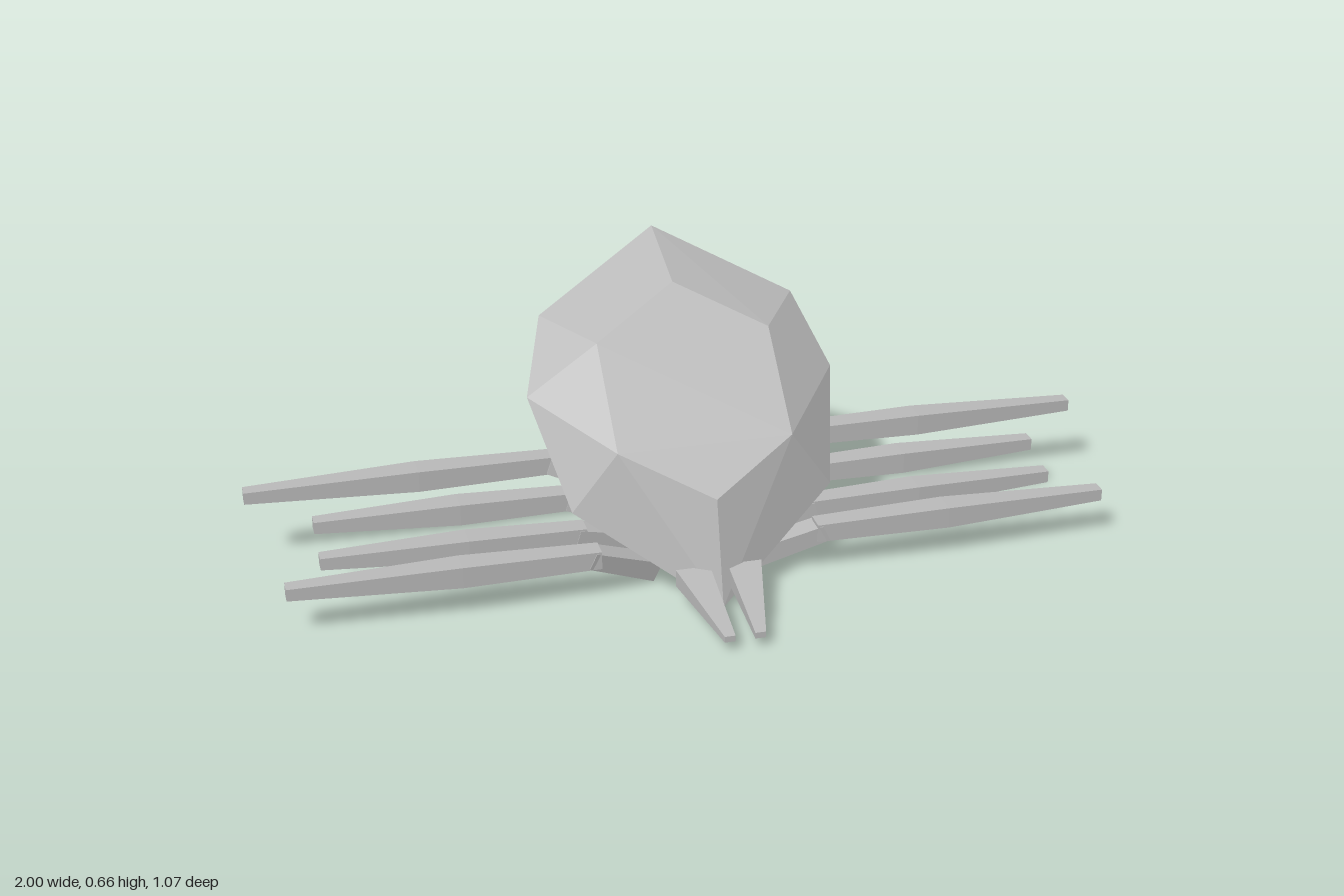
import * as THREE from 'three';
import { ConvexGeometry } from 'three/addons/geometries/ConvexGeometry.js';

export function createModel() {
  const model = new THREE.Group();
  const shellGrey = new THREE.MeshStandardMaterial({ color: 0xb8b8b8 });
  const V = (x, y, z) => new THREE.Vector3(x, y, z);

  const addHull = (name, points, parent = model) => {
    const mesh = new THREE.Mesh(new ConvexGeometry(points), shellGrey);
    mesh.name = name;
    parent.add(mesh);
  };

  // Mirrored half profile [x, y] laid on a sloping plane given by zAt(y)
  const ring = (profile, zAt) => profile.flatMap(([x, y]) =>
    x ? [V(x, y, zAt(y)), V(-x, y, zAt(y))] : [V(0, y, zAt(y))]);

  // Faceted body: hexagonal back plate, wide octagon, small rear octagon
  const wide = [[0, 0.668], [0.3, 0.528], [0.358, 0.39], [0.3, 0.19], [0, 0.008]];
  const small = wide.map(([x, y]) => [x * 0.305, 0.226 + (y - 0.008) * 0.423]);
  addHull('body', [
    ...ring([[0, 0.246], [0.2, 0.335], [0.2, 0.515], [0, 0.605]], (y) => (0.515 - y) / 0.9),
    ...ring(wide, (y) => 0.367 - y),
    ...ring(small, (y) => -0.031 - y),
  ]);

  // Rectangular section around c, tilted in the x-y plane
  const section = (c, halfHeight, halfWidth, tilt = 0) => {
    const points = [];
    for (const h of [-halfHeight, halfHeight])
      for (const w of [-halfWidth, halfWidth])
        points.push(V(c[0] - Math.sin(tilt) * h, c[1] + Math.cos(tilt) * h, c[2] + w));
    return points;
  };

  // Four legs a side: hip and knee centres, then the tip
  const legs = [
    { name: 'frontLeg', hip: [0.11, 0.026, 0.173], knee: [0.27, 0.103, 0.228], tip: [0.943, 0.11, 0.23] },
    { name: 'secondLeg', hip: [0.11, 0.056, 0.095], knee: [0.28, 0.106, 0.12], tip: [0.857, 0.112, 0.115] },
    { name: 'thirdLeg', hip: [0.11, 0.086, 0.028], knee: [0.28, 0.14, 0.008], tip: [0.857, 0.145, 0.005] },
    { name: 'rearLeg', hip: [0.11, 0.116, -0.053], knee: [0.3, 0.18, -0.107], tip: [1, 0.178, -0.113] },
  ];

  for (const side of [1, -1]) {
    const label = side > 0 ? 'left' : 'right';
    const mirror = (points) => points.map((p) => V(p.x * side, p.y, p.z));

    for (const { name, hip, knee, tip } of legs) {
      const leg = new THREE.Group();
      leg.name = label + name[0].toUpperCase() + name.slice(1);
      model.add(leg);
      const tilt = Math.atan2(knee[1] - hip[1], knee[0] - hip[0]);
      addHull('upperLeg', mirror([
        ...section(hip, 0.024, 0.027, tilt),
        ...section(knee, 0.02, 0.027, tilt),
      ]), leg);
      const start = [knee[0] - 0.02, knee[1], knee[2]];
      const middle = start.map((v, i) => v + (tip[i] - v) * 0.45);
      addHull('lowerLeg', mirror([
        ...section(start, 0.021, 0.024),
        ...section(middle, 0.025, 0.03),
        ...section(tip, 0.014, 0.017),
      ]), leg);
    }

    // Tapered fang pointing forward
    const fang = [];
    for (const [z, inner, outer, low, high] of [
      [0.315, 0.02, 0.098, 0.052, 0.092],
      [0.535, 0.022, 0.046, 0.027, 0.041],
    ])
      for (const x of [inner, outer])
        for (const y of [low, high]) fang.push(V(x, y, z));
    addHull(label + 'Fang', mirror(fang));
  }

  return model;
}
